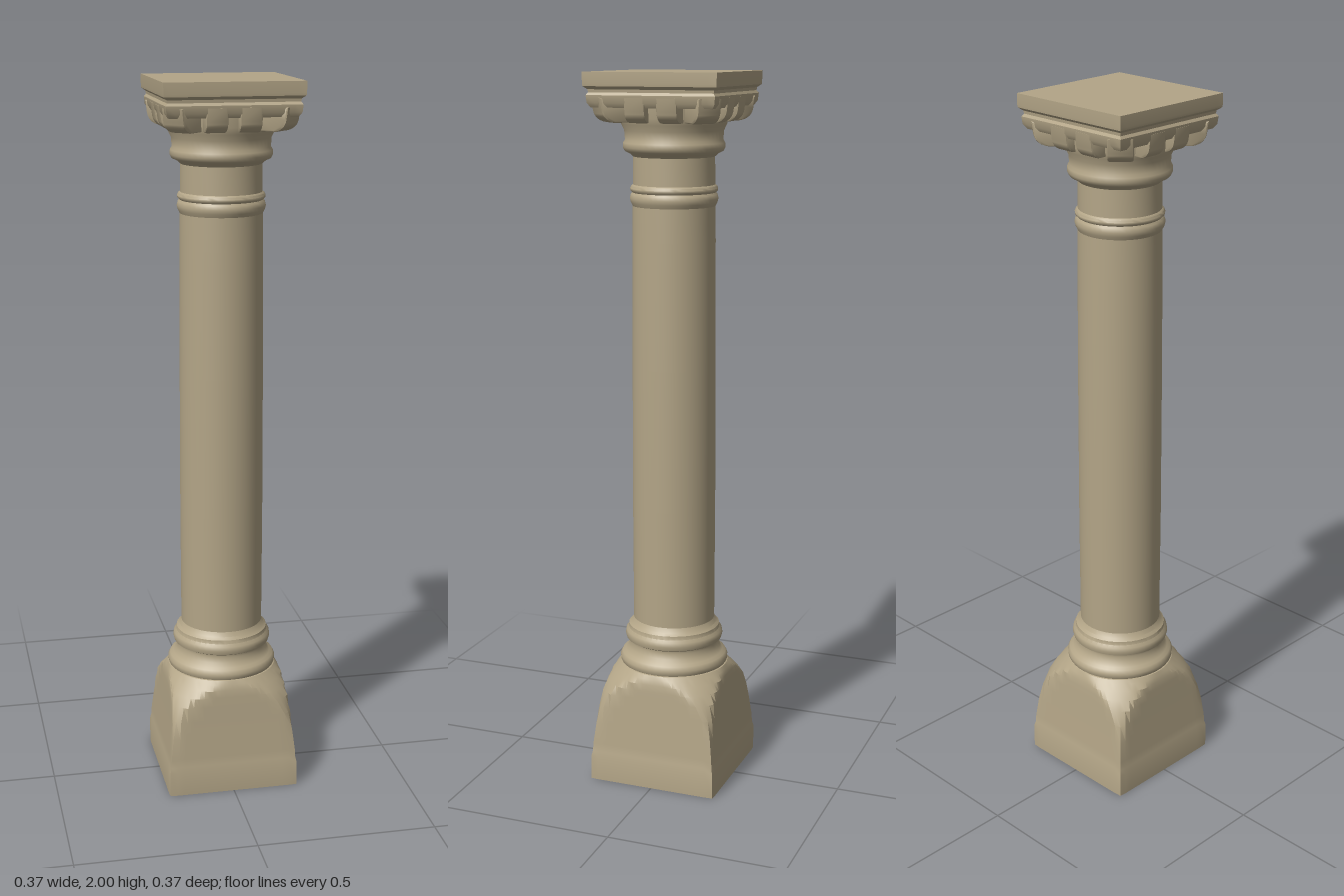
import * as THREE from 'three';
import { toCreasedNormals } from 'three/addons/utils/BufferGeometryUtils.js';

// Stacked sections, each a square (half width s) clipped by a circle (radius r)
function loft(sections, n = 96) {
  const pos = [], idx = [];
  for (const [y, s, r] of sections) {
    for (let i = 0; i <= n; i++) {
      const a = (i / n) * Math.PI * 2, c = Math.cos(a), d = Math.sin(a);
      const q = Math.min(s / Math.max(Math.abs(c), Math.abs(d)), r);
      pos.push(q * d, y, q * c);
    }
  }
  for (let j = 0; j < sections.length - 1; j++) {
    for (let i = 0; i < n; i++) {
      const a = j * (n + 1) + i, b = a + n + 1;
      idx.push(a, a + 1, b, a + 1, b + 1, b);
    }
  }
  const g = new THREE.BufferGeometry();
  g.setAttribute('position', new THREE.Float32BufferAttribute(pos, 3));
  g.setIndex(idx);
  return toCreasedNormals(g, 0.5);
}

export function createModel() {
  const model = new THREE.Group();
  model.name = 'column';
  const stone = new THREE.MeshStandardMaterial({ color: 0xb3a587 });
  stone.name = 'sandstone';

  const add = (name, geometry, parent = model) => {
    const mesh = new THREE.Mesh(geometry, stone);
    mesh.name = name;
    parent.add(mesh);
    return mesh;
  };
  const turned = (name, points) => add(name, toCreasedNormals(
    new THREE.LatheGeometry(points.map(([r, y]) => new THREE.Vector2(r, y)), 48), 0.7));

  // Square pedestal whose corners are rounded off into the round base
  add('pedestal', loft([
    [0, 0, 0], [0, 0.187, 0.262], [0.07, 0.187, 0.262], [0.085, 0.183, 0.257],
    [0.11, 0.181, 0.255], [0.17, 0.176, 0.245], [0.22, 0.172, 0.232],
    [0.26, 0.169, 0.214], [0.285, 0.167, 0.196], [0.305, 0.165, 0.178],
    [0.32, 0.16, 0.164], [0.33, 0.155, 0.155], [0.335, 0.14, 0.14], [0.335, 0, 0],
  ]));

  // Moulded rings under the shaft
  turned('baseMoulding', [
    [0.148, 0.325], [0.154, 0.335], [0.155, 0.347], [0.149, 0.358], [0.14, 0.363],
    [0.132, 0.375], [0.127, 0.39], [0.128, 0.397], [0.137, 0.402], [0.14, 0.413],
    [0.138, 0.425], [0.131, 0.432], [0.13, 0.443], [0.122, 0.45], [0.115, 0.465],
  ]);

  turned('shaft', [
    [0.116, 0.44], [0.117, 0.8], [0.116, 1.2], [0.114, 1.55], [0.113, 1.66],
  ]);

  // Collar and plain neck above the shaft
  turned('collar', [
    [0.112, 1.64], [0.118, 1.652], [0.121, 1.663], [0.118, 1.674], [0.114, 1.679],
    [0.119, 1.684], [0.12, 1.69], [0.117, 1.696], [0.112, 1.7], [0.111, 1.79],
  ]);

  // Flared bell of the capital
  turned('capitalBell', [
    [0.111, 1.775], [0.12, 1.783], [0.134, 1.79], [0.139, 1.8], [0.138, 1.812],
    [0.133, 1.82], [0.135, 1.845], [0.143, 1.862], [0.148, 1.88], [0.15, 1.93],
  ]);

  // Rounded brackets: four along each side, sharing the corners
  const brackets = new THREE.Group();
  brackets.name = 'brackets';
  model.add(brackets);
  const profile = new THREE.Shape();
  profile.moveTo(0.08, 1.93);
  profile.lineTo(0.08, 1.872);
  profile.lineTo(0.145, 1.872);
  profile.quadraticCurveTo(0.168, 1.876, 0.172, 1.9);
  profile.lineTo(0.176, 1.93);
  profile.closePath();
  const block = new THREE.ExtrudeGeometry(profile, {
    depth: 0.046, bevelEnabled: true, bevelSize: 0.004, bevelThickness: 0.006,
    bevelSegments: 2, curveSegments: 6,
  });
  block.translate(0, 0, -0.023);
  const bracketGeometry = toCreasedNormals(block, 0.6);
  const corner = bracketGeometry.clone().scale(1.27, 1, 1.15);
  for (let side = 0; side < 4; side++) {
    const row = new THREE.Group();
    row.name = 'bracketRow';
    row.rotation.y = side * Math.PI / 2;
    brackets.add(row);
    for (const z of [-0.045, 0.045]) add('bracket', bracketGeometry, row).position.z = z;
    add('cornerBracket', corner, row).rotation.y = Math.PI / 4;
  }

  // Square top slab with a stepped, hollowed edge
  add('abacus', loft([
    [1.908, 0, 0], [1.908, 0.17, 1], [1.92, 0.178, 1], [1.94, 0.18, 1],
    [1.947, 0.175, 1], [1.955, 0.176, 1], [1.963, 0.186, 1], [1.97, 0.187, 1],
    [2, 0.187, 1], [2, 0, 0],
  ]));

  return model;
}
